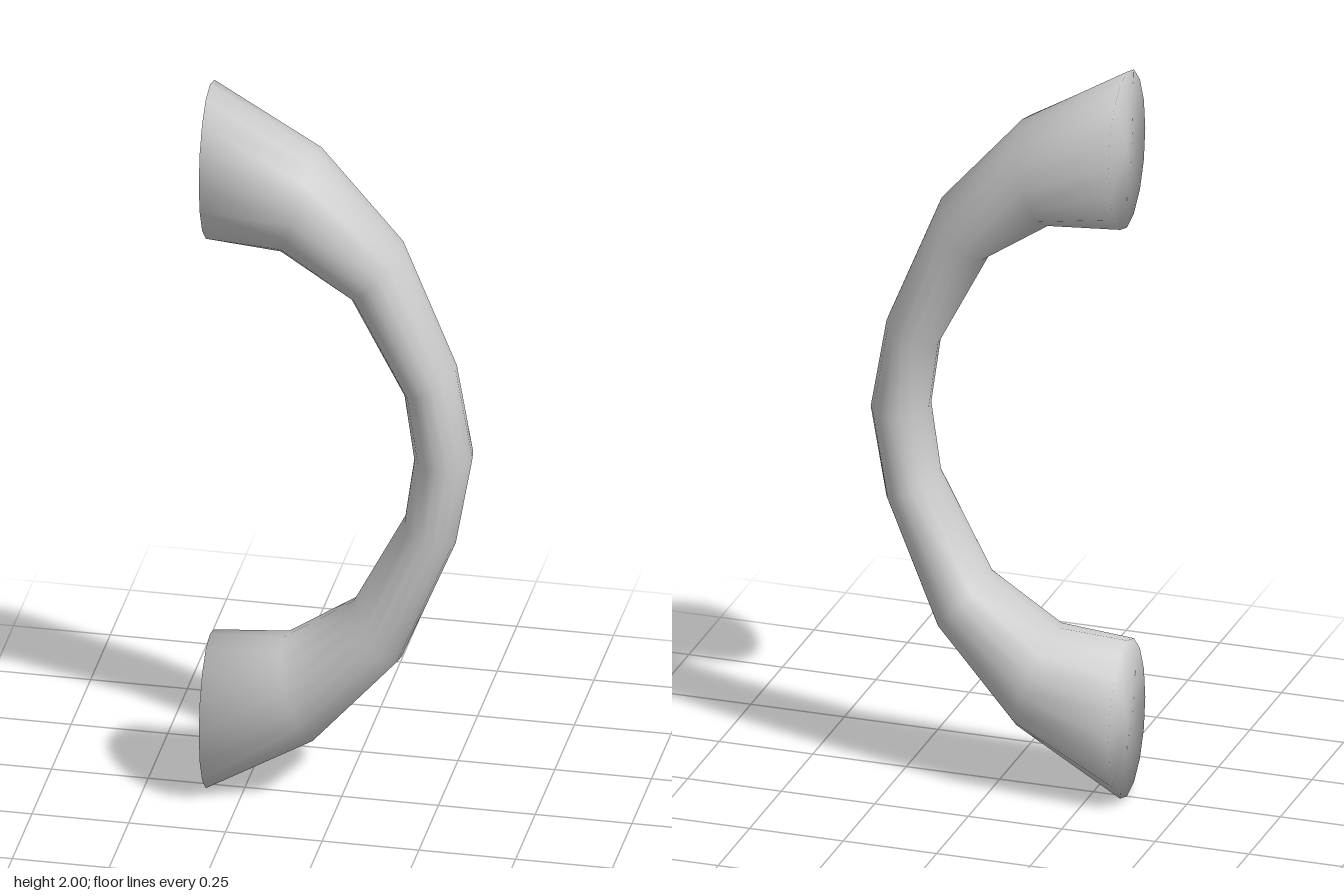
import * as THREE from 'three';

const SIDES = 16;

// Upper half of the grip: outer x, y, inner x, y, half depth in z
const upper = [
  [-0.34, 2.0, -0.34, 1.57, 0.145],
  [-0.06, 1.83, -0.15, 1.56, 0.145],
  [0.155, 1.585, 0.03, 1.44, 0.115],
  [0.295, 1.245, 0.165, 1.18, 0.099],
  [0.338, 1.0, 0.19, 1.0, 0.098],
];

// Skin elliptical rings into one closed, smooth body
function loftRings(rings) {
  const pos = [];
  const index = [];
  for (const [ox, oy, ix, iy, depth] of rings) {
    for (let j = 0; j < SIDES; j++) {
      const a = (j / SIDES) * Math.PI * 2;
      const k = Math.cos(a) / 2;
      pos.push((ox + ix) / 2 + (ox - ix) * k, (oy + iy) / 2 + (oy - iy) * k, depth * Math.sin(a));
    }
  }
  const last = (rings.length - 1) * SIDES;
  const startCentre = rings.length * SIDES;
  for (const [ox, oy, ix, iy] of [rings[0], rings[rings.length - 1]]) {
    pos.push((ox + ix) / 2, (oy + iy) / 2, 0);
  }
  for (let j = 0; j < SIDES; j++) {
    const n = (j + 1) % SIDES;
    for (let r = 0; r < last; r += SIDES) {
      index.push(r + j, r + n, r + SIDES + j, r + n, r + SIDES + n, r + SIDES + j);
    }
    // flat mounting faces
    index.push(startCentre, n, j, startCentre + 1, last + j, last + n);
  }
  const geo = new THREE.BufferGeometry();
  geo.setAttribute('position', new THREE.Float32BufferAttribute(pos, 3));
  geo.setIndex(index);
  geo.computeVertexNormals();
  return geo;
}

export function createModel() {
  const group = new THREE.Group();
  group.name = 'pullHandle';

  // Lower half mirrors the upper half about y = 1
  const lower = upper.slice(0, -1).reverse()
    .map(([ox, oy, ix, iy, d]) => [ox, 2 - oy, ix, 2 - iy, d]);

  const grip = new THREE.Mesh(
    loftRings([...upper, ...lower]),
    new THREE.MeshStandardMaterial({ color: 0xcccccc })
  );
  grip.name = 'curvedGrip';
  group.add(grip);
  return group;
}
